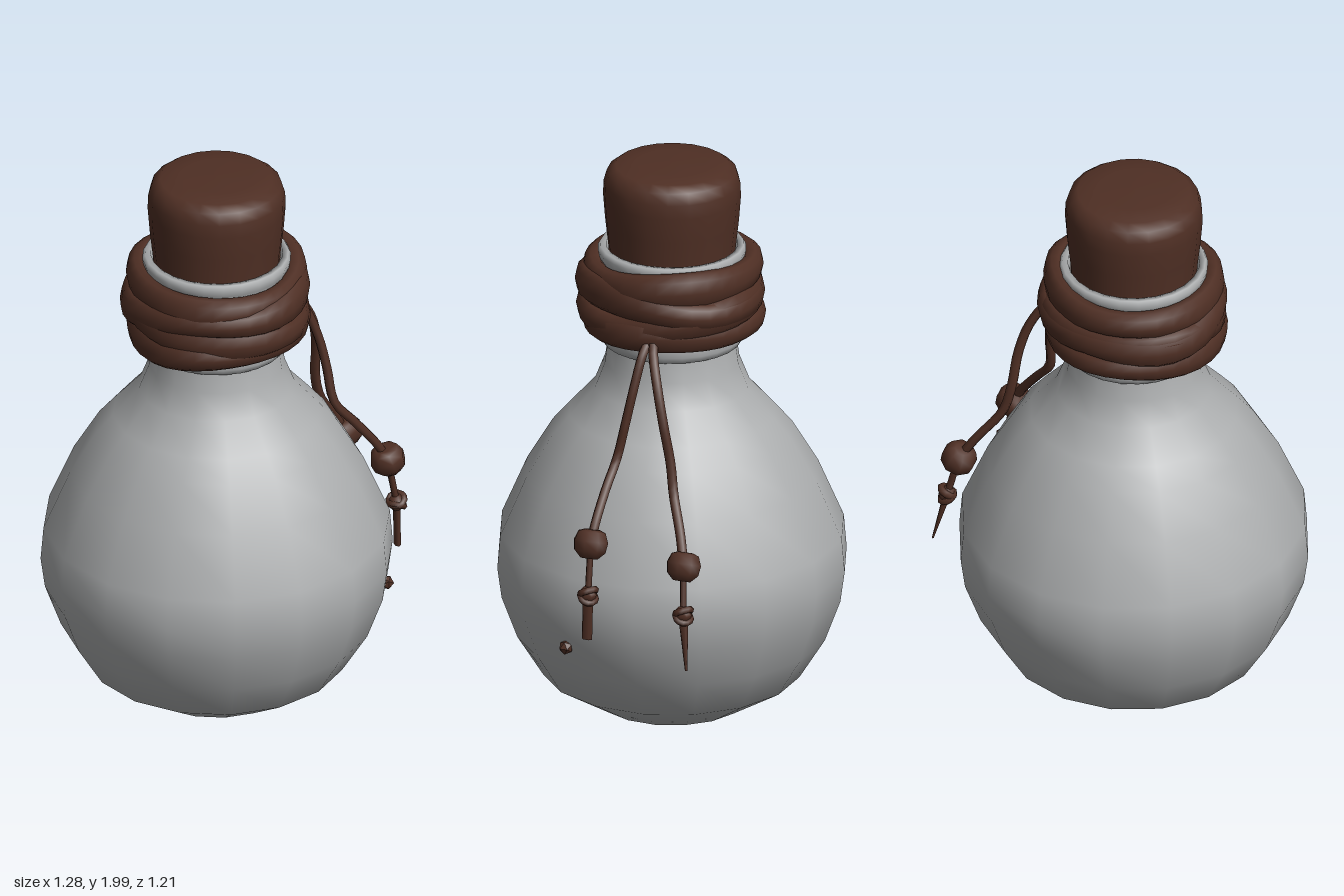
import * as THREE from 'three';
import { mergeVertices } from 'three/addons/utils/BufferGeometryUtils.js';

export function createModel() {
  const model = new THREE.Group();
  model.name = 'corkedFlask';
  const glass = new THREE.MeshStandardMaterial({ color: 0xacaeaf, side: THREE.DoubleSide });
  glass.name = 'grey glass';
  const leather = new THREE.MeshStandardMaterial({ color: 0x4f2f24 });
  leather.name = 'brown leather';
  const CX = -0.038; // flask axis

  const add = (name, geometry, material, x = 0, y = 0, z = 0, parent = model) => {
    const mesh = new THREE.Mesh(geometry, material);
    mesh.name = name;
    mesh.position.set(x, y, z);
    parent.add(mesh);
    return mesh;
  };
  const lathe = (profile, sides, phase = 0) =>
    new THREE.LatheGeometry(profile.map(([r, y]) => new THREE.Vector2(r, y)), sides, phase);

  // Sixteen-sided bulb, running up into the narrow throat
  add('flaskBody', lathe([
    [0, 0.01], [0.26, 0.01], [0.45, 0.125], [0.54, 0.27], [0.595, 0.42], [0.61, 0.53],
    [0.6, 0.65], [0.51, 0.86], [0.42, 1.01], [0.36, 1.08], [0.27, 1.18], [0.235, 1.27], [0.222, 1.36],
  ], 16, 0.149), glass, CX);

  // Collar with a rolled rim
  add('flaskNeck', lathe([
    [0.215, 1.345], [0.24, 1.347], [0.252, 1.37], [0.252, 1.41], [0.236, 1.44], [0.236, 1.63],
    [0.252, 1.66], [0.257, 1.685], [0.248, 1.7], [0.228, 1.7], [0.222, 1.66], [0.222, 1.5],
  ], 24), glass, CX);

  // Cork, widening slightly toward its rounded top
  add('cork', lathe([
    [0, 1.6], [0.216, 1.6], [0.22, 1.69], [0.231, 1.79], [0.238, 1.88], [0.236, 1.93],
    [0.224, 1.97], [0.195, 1.992], [0.12, 1.998], [0, 2],
  ], 20), leather, CX);

  // Flattened, tilted straps wound around the neck
  const wrap = new THREE.Group();
  wrap.name = 'neckWrap';
  model.add(wrap);
  const strap = (y, R, half, tilt, phase, wave) => {
    let g = new THREE.TorusGeometry(R, 0.04, 10, 32);
    g.deleteAttribute('uv');
    g.deleteAttribute('normal');
    const p = g.attributes.position;
    for (let i = 0; i < p.count; i++) {
      const a = Math.atan2(p.getY(i), p.getX(i));
      const h = p.getZ(i) / 0.04;
      const flat = Math.sign(h) * Math.pow(Math.abs(h), 0.8);
      const w = half * (1 + 0.15 * Math.sin(2 * a + phase));
      const r = Math.hypot(p.getX(i), p.getY(i)) + 0.007 * Math.sin(3 * a + phase * 2);
      p.setXYZ(i, r * Math.cos(a),
        y + tilt * Math.sin(a + phase) + wave * Math.sin(3 * a + phase) + flat * w, -r * Math.sin(a));
    }
    g = mergeVertices(g, 1e-4);
    g.computeVertexNormals();
    add('strap', g, leather, CX, 0, 0, wrap);
  };
  strap(1.615, 0.272, 0.058, 0.012, 0.5, 0.005);
  strap(1.55, 0.288, 0.055, 0.03, 2.6, 0.008);
  strap(1.51, 0.284, 0.055, 0.035, 5.6, 0.008);
  strap(1.445, 0.278, 0.052, 0.014, 1.2, 0.006);

  // Hanging cords, each with a bead, a knot and a loose tail
  const v = (a) => new THREE.Vector3(...a);
  const tube = (points, r) =>
    new THREE.TubeGeometry(new THREE.CatmullRomCurve3(points.map(v)), 24, r, 6);
  const beadProfile = [[0, -0.05], [0.032, -0.05], [0.058, -0.025], [0.063, 0.01], [0.05, 0.042], [0.028, 0.05], [0, 0.05]];
  const tassel = (name, path, bead, knot, tail, lean, tipScale) => {
    const group = new THREE.Group();
    group.name = name;
    model.add(group);
    add('cord', tube([...path, bead], 0.017), leather, 0, 0, 0, group);
    add('lowerCord', tube([bead, knot], 0.012), leather, 0, 0, 0, group);
    const b = add('bead', lathe(beadProfile, 8), leather, ...bead, group);
    b.rotation.z = lean;
    // Knot: two crossed coils around a small core
    add('knotCore', new THREE.SphereGeometry(0.031, 8, 6), leather, ...knot, group);
    for (const s of [-1, 1]) {
      const coil = add('knotCoil', new THREE.TorusGeometry(0.026, 0.013, 6, 12), leather, ...knot, group);
      coil.rotation.set(Math.PI / 2 + s * 0.45, s * 0.35, 0);
      coil.position.y += s * 0.01;
    }
    // Flat tail
    const dir = v(tail).sub(v(knot));
    const t = new THREE.CylinderGeometry(0.019, 0.019 * tipScale, dir.length(), 6);
    t.scale(0.6, 1, 1);
    const mid = v(knot).add(v(tail)).multiplyScalar(0.5);
    add('tail', t, leather, mid.x, mid.y, mid.z, group)
      .quaternion.setFromUnitVectors(new THREE.Vector3(0, -1, 0), dir.normalize());
  };
  tassel('frontTassel',
    [[0.24, 1.46, -0.03], [0.29, 1.41, -0.02], [0.335, 1.3, -0.005], [0.36, 1.18, 0.015],
      [0.38, 1.05, 0.04], [0.45, 0.965, 0.052], [0.53, 0.865, 0.06]],
    [0.567, 0.8, 0.063], [0.6, 0.625, 0.06], [0.602, 0.46, 0.063], 0.35, 1);
  tassel('backTassel',
    [[0.24, 1.46, -0.04], [0.295, 1.41, -0.062], [0.35, 1.31, -0.1], [0.375, 1.2, -0.13],
      [0.382, 1.06, -0.16], [0.405, 0.96, -0.18], [0.48, 0.84, -0.235]],
    [0.53, 0.75, -0.266], [0.57, 0.59, -0.28], [0.612, 0.4, -0.308], 0.4, 0.25);

  // Small stray knob on the bulb
  add('knob', new THREE.IcosahedronGeometry(0.026, 0), leather, 0.522, 0.382, 0.173);

  return model;
}
